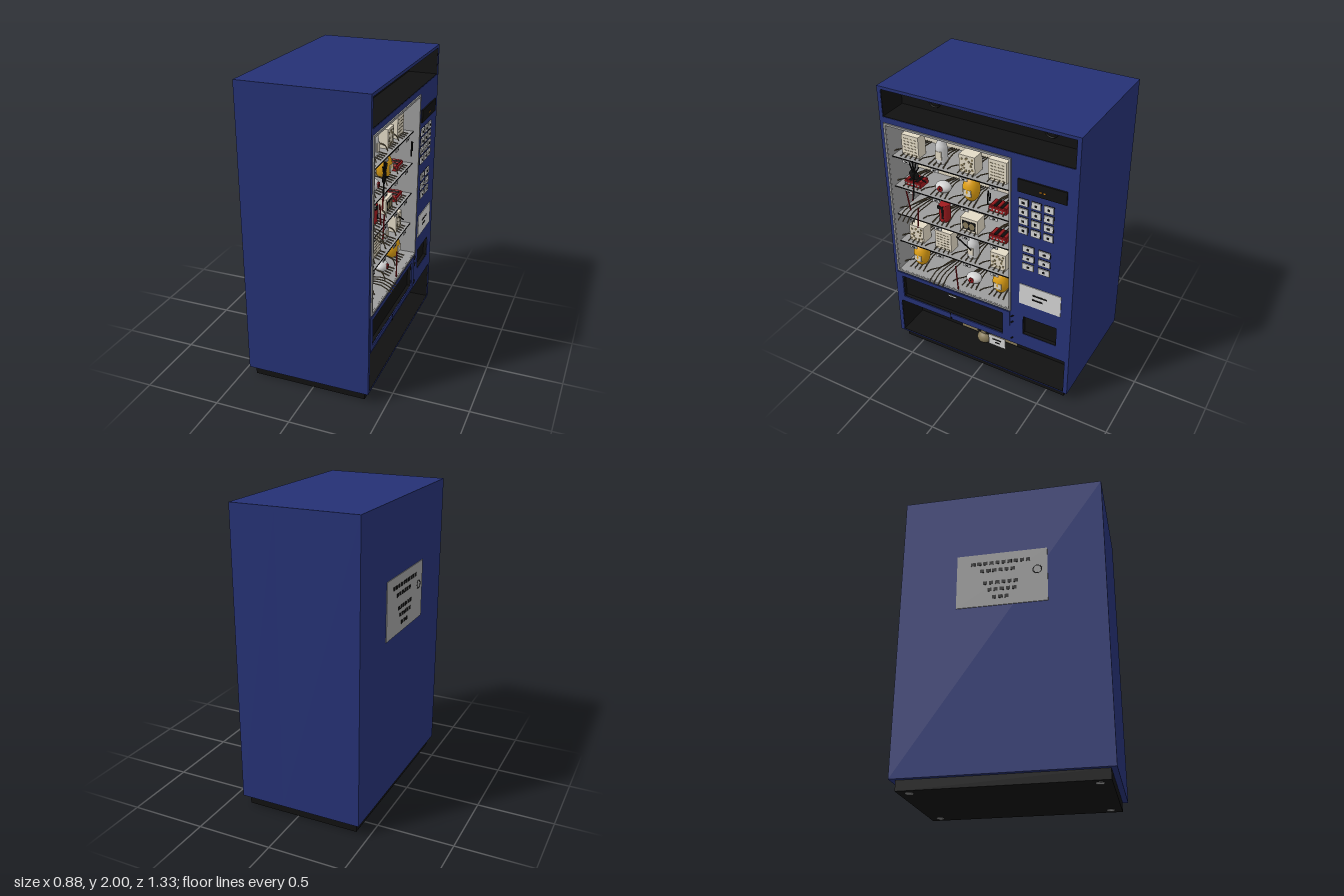
import * as THREE from 'three';

const paint = (name, color) => Object.assign(new THREE.MeshStandardMaterial({ color }), { name });

export function createModel() {
  const blue = paint('cabinet blue', 0x253174), black = paint('black', 0x111111);
  const cream = paint('cream', 0xe2d9c5), steel = paint('steel grey', 0x9c9c9c);
  const white = paint('off white', 0xd2d2d2), red = paint('red', 0xa01a1e);
  const yellow = paint('yellow', 0xe0a014), brown = paint('claw brown', 0x665940);
  const tan = paint('tan', 0x857858), orange = paint('orange', 0xd08010);
  steel.side = THREE.DoubleSide;

  // The machine is built facing local +z, then turned to face +x
  const machine = new THREE.Group();
  machine.name = 'vendingMachine';
  const add = (name, geo, mat, x = 0, y = 0, z = 0, parent = machine) => {
    const m = new THREE.Mesh(geo, mat);
    m.name = name;
    m.position.set(x, y, z);
    parent.add(m);
    return m;
  };
  const box = (name, mat, x0, x1, y0, y1, z0, z1, parent) =>
    add(name, new THREE.BoxGeometry(x1 - x0, y1 - y0, z1 - z0), mat,
      (x0 + x1) / 2, (y0 + y1) / 2, (z0 + z1) / 2, parent);
  const rect = (P, x0, x1, y0, y1) => new P([[x0, y0], [x1, y0], [x1, y1], [x0, y1]]
    .map(([x, y]) => new THREE.Vector2(x, y)));
  const frame = (name, mat, o, i, z0, z1) => {
    const s = rect(THREE.Shape, ...o);
    i.forEach(h => s.holes.push(rect(THREE.Path, ...h)));
    return add(name, new THREE.ExtrudeGeometry(s, { depth: z1 - z0, bevelEnabled: false }), mat, 0, 0, z0);
  };
  const tube = (name, mat, pts, r, parent, seg = 8) => add(name, new THREE.TubeGeometry(
    new THREE.CatmullRomCurve3(pts.map(p => new THREE.Vector3(...p))), seg, r, 5), mat, 0, 0, 0, parent);
  const disc = (name, mat, r, x, y, z, h = 0.006, parent) => {
    const m = add(name, new THREE.CylinderGeometry(r, r, h, 20), mat, x, y, z, parent);
    m.rotation.x = Math.PI / 2;
    return m;
  };

  // Cabinet: solid rear, front with recesses cut through
  const F = 0.39, D = 0.09;
  const top = [-0.64, 0.64, 1.8, 1.98], low = [-0.637, 0.637, 0.078, 0.355];
  const win = [-0.625, 0.235, 0.64, 1.75], flap = [-0.605, 0.185, 0.405, 0.585];
  const slot = [-0.0 + 0.33, 0.57, 0.465, 0.615];
  box('cabinetRear', blue, -0.665, 0.665, 0.07, 2, -0.44, D);
  frame('cabinetFront', blue, [-0.665, 0.665, 0.07, 2], [top, low, win, flap, slot], D, F);
  box('base', black, -0.63, 0.63, 0.004, 0.07, -0.41, 0.355);
  for (const x of [-0.56, 0.56]) for (const z of [-0.35, 0.29])
    add('foot', new THREE.CylinderGeometry(0.025, 0.025, 0.01, 16), steel, x, 0.005, z);

  // Thin linings for each recess
  const lining = (name, [x0, x1, y0, y1], z0, z1, backMat, wallMat, ceiling = true) => {
    const t = 0.003;
    box(name + 'Back', backMat, x0, x1, y0, y1, z0 - 0.004, z0);
    box(name + 'Left', wallMat, x0, x0 + t, y0, y1, z0, z1);
    box(name + 'Right', wallMat, x1 - t, x1, y0, y1, z0, z1);
    box(name + 'Floor', wallMat, x0, x1, y0, y0 + t, z0, z1);
    if (ceiling) box(name + 'Ceiling', wallMat, x0, x1, y1 - t, y1, z0, z1);
  };
  lining('topRecess', top, 0.19, F - 0.003, black, black, false);
  lining('lowerRecess', low, 0.16, F - 0.003, black, black);
  lining('display', win, D + 0.006, F, cream, steel);
  lining('flap', flap, 0.365, F - 0.002, black, black);
  lining('coinReturn', slot, 0.365, F - 0.002, black, black);
  for (const x of [-0.393, 0.393]) {
    add('speakerRing', new THREE.TorusGeometry(0.042, 0.006, 6, 24), black, x, 1.88, 0.193);
    add('speakerRing', new THREE.TorusGeometry(0.042, 0.006, 6, 24), black, x, 0.22, 0.163);
  }
  frame('windowTrim', steel, [-0.637, 0.243, 0.628, 1.762], [[-0.623, 0.229, 0.642, 1.748]], F - 0.005, 0.399);
  frame('flapTrim', blue, [-0.647, 0.235, 0.375, 0.615], [flap], F, 0.395);
  box('flapMark', white, -0.25, -0.19, 0.533, 0.541, 0.365, 0.367);
  tube('lamp', cream, [[-0.6, 1.725, 0.34], [0.2, 1.725, 0.34]], 0.012);
  box('lampHolder', steel, -0.6, 0.2, 1.735, 1.748, 0.32, 0.36);

  // Products, each centred on x = 0 and standing on y = 0
  const lathe = pts => new THREE.LatheGeometry(pts.map(p => new THREE.Vector2(...p)), 24);
  const products = {
    cracker(g) {
      box('crackerBox', cream, -0.062, 0.062, 0, 0.145, -0.04, 0.04, g);
      for (let i = 0; i < 4; i++) for (let j = 0; j < 6; j++)
        box('cracker', tan, -0.047 + i * 0.025, -0.03 + i * 0.025, 0.014 + j * 0.021, 0.017 + j * 0.021, 0.04, 0.042, g);
    },
    spotted(g) {
      box('spottedBox', cream, -0.055, 0.055, 0, 0.122, -0.045, 0.045, g);
      for (let i = 0; i < 14; i++)
        disc('spot', tan, 0.008, 0.04 * Math.sin(i * 2.4), 0.06 + 0.042 * Math.cos(i * 1.7), 0.045, 0.004, g);
    },
    bottle(g) {
      add('bottle', lathe([[0, 0], [0.037, 0], [0.039, 0.01], [0.039, 0.1], [0.034, 0.125], [0.018, 0.16],
        [0.016, 0.185], [0.02, 0.188], [0.02, 0.205], [0, 0.205]]), white, 0, 0, 0, g);
      box('bottleLabel', cream, -0.022, 0.022, 0.035, 0.09, 0.034, 0.04, g);
    },
    tray(g) {
      box('tray', red, -0.06, 0.06, 0, 0.035, -0.045, 0.045, g);
      for (let i = 0; i < 5; i++) {
        box('trayTooth', white, -0.052 + i * 0.023, -0.04 + i * 0.023, 0.012, 0.022, 0.045, 0.047, g);
        disc('trayFilling', i % 2 ? black : red, 0.01, -0.046 + i * 0.023, 0.034, 0, 0.07, g);
      }
    },
    eyeball(g) {
      add('eyeball', new THREE.SphereGeometry(1, 24, 16), white, 0, 0.038, 0, g).scale.set(0.055, 0.037, 0.045);
      disc('iris', red, 0.019, 0, 0.042, 0.041, 0.008, g);
      disc('pupil', black, 0.006, 0, 0.042, 0.045, 0.004, g);
    },
    egg(g) {
      add('egg', new THREE.SphereGeometry(1, 24, 16), yellow, 0, 0.09, 0, g).scale.set(0.057, 0.088, 0.057);
      box('eggLabel', cream, -0.028, 0.028, 0.06, 0.105, 0.05, 0.056, g);
      box('eggCap', tan, -0.03, 0.03, 0.168, 0.176, -0.012, 0.012, g);
    },
    can(g) {
      add('can', lathe([[0, 0], [0.034, 0], [0.038, 0.006], [0.038, 0.124], [0.034, 0.13], [0, 0.13]]), red, 0, 0, 0, g);
      box('canMark', black, -0.032, 0.012, 0.1, 0.122, 0.032, 0.04, g);
      box('canMark', black, -0.002, 0.012, 0.03, 0.1, 0.034, 0.04, g);
    },
    photo(g) {
      box('photoBox', cream, -0.063, 0.063, 0, 0.1, -0.045, 0.045, g);
      box('picture', black, -0.048, 0.048, 0.016, 0.08, 0.045, 0.047, g);
      for (const s of [-1, 1])
        add('pictureFigure', new THREE.CircleGeometry(0.02, 16), tan, s * 0.022, 0.047, 0.048, g).scale.y = 1.2;
    },
    empty() {}
  };

  // Shelves, tags, claw hooks and products
  const rows = [
    [1.518, 'cracker', 'bottle', 'spotted', 'cracker'],
    [1.298, 'tray', 'eyeball', 'egg', 'tray'],
    [1.083, 'empty', 'can', 'photo', 'tray'],
    [0.863, 'spotted', 'cracker', 'bottle', 'spotted'],
    [0.643, 'egg', 'empty', 'eyeball', 'egg']
  ];
  rows.forEach(([y, ...kinds], r) => {
    if (r < 4) {
      box('shelf', steel, -0.622, 0.232, y - 0.008, y, D + 0.006, 0.355);
      box('shelfEdge', black, -0.622, 0.232, y - 0.007, y, 0.355, 0.358);
    }
    kinds.forEach((kind, i) => {
      const x = -0.515 + i * 0.207;
      const g = new THREE.Group();
      g.name = kind + 'Slot';
      g.position.set(x, y, 0.27);
      machine.add(g);
      products[kind](g);
      const reach = kind === 'empty' ? 0.16 : 0.075;
      for (let k = 0; k < 4; k++) {
        const fx = -0.048 + k * 0.032;
        tube('clawFinger', brown, [[fx * 0.5, 0.012, -0.16], [fx * 0.8, 0.03, -0.06],
          [fx, kind === 'empty' ? 0.042 : 0.012, reach * 0.55], [fx * 1.1, 0.004, reach]], 0.004, g);
      }
      tube('clawThumb', brown, [[-0.02, 0.02, -0.12], [-0.065, 0.03, 0.02], [-0.1, 0.027, 0.05], [-0.125, 0.01, 0.07]], 0.004, g);
      box('priceTag', white, x - 0.027, x + 0.027, y - 0.028, y - 0.007, 0.356, 0.361);
      box('priceMark', black, x - 0.01, x + 0.01, y - 0.02, y - 0.014, 0.361, 0.363);
    });
  });

  // Smears and scratches on the window
  const W = 0.392;
  disc('smear', black, 0.035, -0.44, 1.45, W, 0.004);
  for (const [dx, dy] of [[-0.03, 0.08], [-0.005, 0.1], [0.02, 0.09], [0.045, 0.07], [0.09, -0.03], [-0.01, -0.1], [-0.02, -0.19]])
    tube('smearStreak', black, [[-0.44, 1.45, W], [-0.44 + dx, 1.45 + dy, W]], 0.005, machine, 1);
  const scratch = (mat, x0, y0, x1, y1) => tube('scratch', mat, [[x0, y0, W], [x1, y1, W]], 0.005, machine, 1);
  scratch(red, -0.51, 1.31, -0.488, 1.17);
  scratch(red, -0.425, 1.21, -0.442, 1.05);
  scratch(red, -0.45, 1.35, -0.465, 1.25);
  scratch(red, -0.165, 0.84, -0.152, 0.65);
  scratch(black, 0.09, 1.5, 0.085, 1.4);
  scratch(black, 0.105, 1.49, 0.1, 1.43);
  scratch(black, -0.15, 1.08, -0.04, 1.01);
  scratch(black, -0.225, 0.41, -0.22, 0.36);
  for (const y of [0.6, 0.55, 0.41]) scratch(black, 0.245, y - 0.02, 0.265, y);

  // Control panel
  box('screen', black, 0.29, 0.6, 1.56, 1.645, F, 0.4);
  for (const x of [0.43, 0.455]) box('screenDash', orange, x, x + 0.014, 1.591, 1.599, 0.4, 0.402);
  const key = (x, y, w, h) => {
    box('keySurround', black, x - w / 2 - 0.003, x + w / 2 + 0.003, y - h / 2 - 0.003, y + h / 2 + 0.003, F, 0.392);
    box('key', white, x - w / 2, x + w / 2, y - h / 2, y + h / 2, F, 0.398);
    box('keyMark', black, x - 0.008, x + 0.008, y - 0.007, y + 0.007, 0.398, 0.4);
  };
  for (const y of [1.49, 1.425, 1.36, 1.293]) for (const x of [0.325, 0.408, 0.49]) key(x, y, 0.06, 0.046);
  for (const y of [1.163, 1.095, 1.03]) for (const x of [0.362, 0.47]) key(x, y, 0.075, 0.043);
  box('noticeCard', white, 0.305, 0.592, 0.725, 0.882, F, 0.395);
  box('noticeLine', black, 0.4, 0.5, 0.815, 0.826, 0.395, 0.397);
  box('noticeLine', black, 0.395, 0.47, 0.78, 0.791, 0.395, 0.397);

  // Opening in the lower panel with a small figure and a note
  box('lowerOpening', tan, -0.275, 0.17, 0.09, 0.33, 0.16, 0.166);
  const figure = new THREE.Group();
  figure.name = 'figure';
  figure.position.set(-0.055, 0.09, 0.21);
  machine.add(figure);
  const ball = (name, mat, x, y, z, a, b, c) =>
    add(name, new THREE.SphereGeometry(1, 20, 14), mat, x, y, z, figure).scale.set(a, b, c);
  ball('figureHead', tan, 0, 0.11, 0, 0.05, 0.055, 0.04);
  ball('figureSnout', tan, 0, 0.045, 0.02, 0.052, 0.045, 0.045);
  for (const s of [-1, 1]) {
    ball('figureEye', black, s * 0.033, 0.108, 0.03, 0.018, 0.02, 0.012);
    ball('figureEar', tan, s * 0.035, 0.15, 0, 0.018, 0.02, 0.012);
  }
  box('note', white, 0, 0.132, 0.125, 0.212, 0.262, 0.266);
  box('noteLine', black, 0.03, 0.1, 0.176, 0.186, 0.266, 0.268);
  box('noteLine', black, 0.05, 0.085, 0.15, 0.16, 0.266, 0.268);
  add('redBall', new THREE.SphereGeometry(0.022, 16, 12), red, 0.172, 0.268, 0.185);

  // Rear plate with plain ruled marks
  box('rearPlate', steel, -0.3, 0.29, 1.15, 1.53, -0.445, -0.44);
  for (const [y, w, c] of [[1.46, 0.38, 0], [1.405, 0.24, 0.03], [1.315, 0.22, 0], [1.265, 0.2, 0], [1.21, 0.1, 0]])
    for (let i = 0, n = Math.round(w / 0.04); i < n; i++)
      box('plateMark', black, c - w / 2 + i * 0.04, c - w / 2 + i * 0.04 + 0.027, y - 0.012, y + 0.012, -0.447, -0.445);
  add('plateRing', new THREE.TorusGeometry(0.028, 0.006, 4, 20), black, -0.235, 1.38, -0.442);

  machine.rotation.y = Math.PI / 2;
  machine.position.x = 0;
  const model = new THREE.Group();
  model.name = 'model';
  model.add(machine);
  return model;
}
